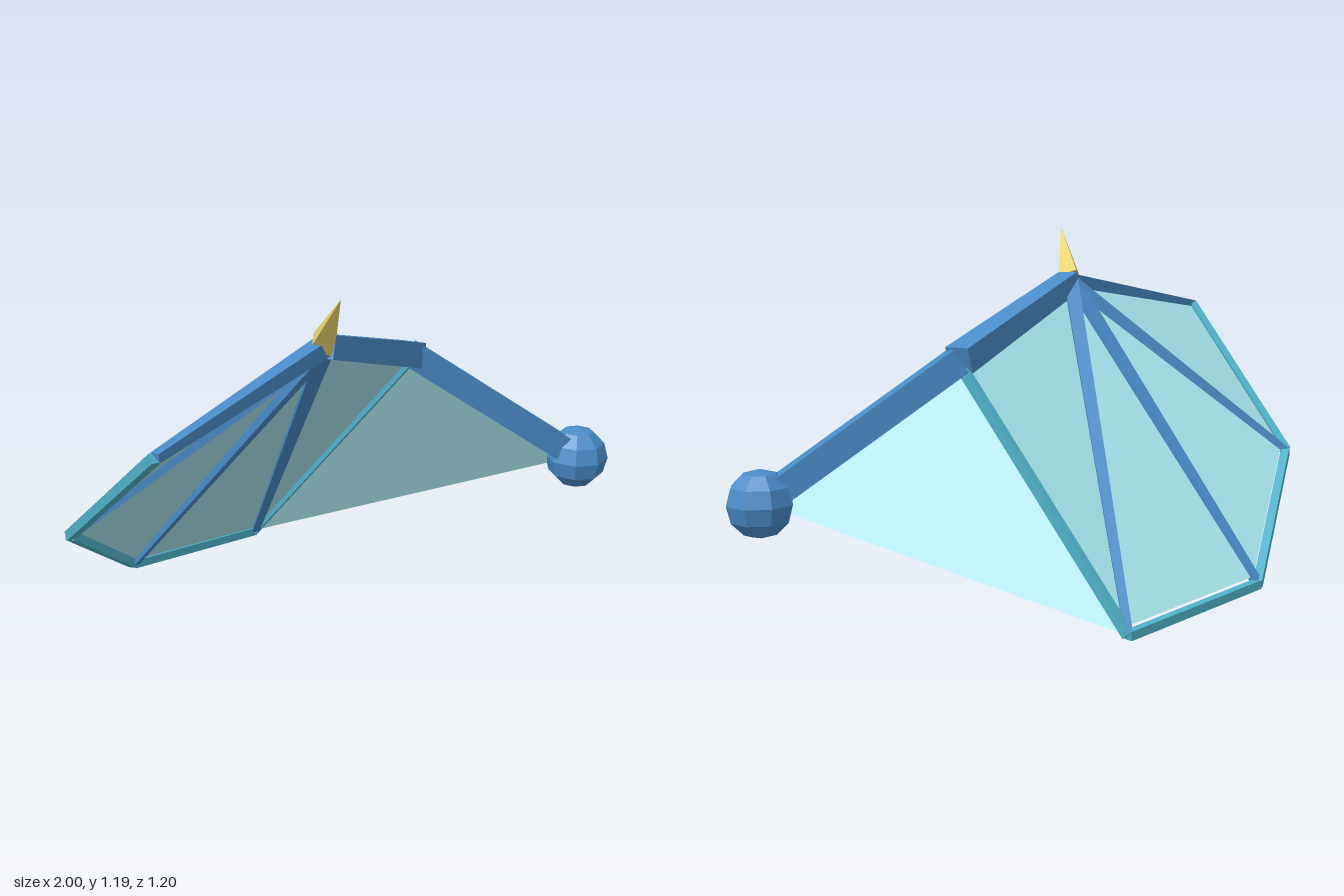
import * as THREE from 'three';

const V = (x, y, z) => new THREE.Vector3(x, y, z);
const mat = (color, side = THREE.FrontSide) =>
  new THREE.MeshStandardMaterial({ color, side, flatShading: true });

// Square bar from a to b, tapering from width w0 to w1
function bar(name, a, b, w0, w1, material) {
  const g = new THREE.BoxGeometry(1, 1, a.distanceTo(b));
  const p = g.attributes.position;
  for (let i = 0; i < p.count; i++) {
    const w = p.getZ(i) < 0 ? w0 : w1;
    p.setXY(i, p.getX(i) * w, p.getY(i) * w);
  }
  g.computeVertexNormals();
  const m = new THREE.Mesh(g, material);
  m.name = name;
  m.position.copy(a).lerp(b, 0.5);
  m.lookAt(b);
  return m;
}

// Single triangular sheet of wing skin
function sheet(name, a, b, c, material) {
  const g = new THREE.BufferGeometry().setFromPoints([a, b, c]);
  g.computeVertexNormals();
  const m = new THREE.Mesh(g, material);
  m.name = name;
  return m;
}

export function createModel() {
  const wing = new THREE.Group();
  wing.name = 'wing';
  const blue = mat(0x4a8cc8);
  const teal = mat(0x4fb0c8);
  const skin = mat(0xa8e6ef, THREE.DoubleSide);
  const horn = mat(0xe6cf6a);

  // Joints and finger tips
  const shoulder = V(0.89, 0.36, 0.19);
  const elbow = V(0.3, 0.79, 0);
  const wrist = V(-0.3, 1.005, 0.345);
  const tips = [
    V(-0.985, 0.89, 0.585),
    V(-0.92, 0.42, -0.09),
    V(-0.52, 0.078, -0.47),
    V(0.04, 0.018, -0.585),
  ];

  // Arm
  const ball = new THREE.Mesh(new THREE.SphereGeometry(0.109, 8, 6), blue);
  ball.name = 'shoulderBall';
  ball.position.copy(shoulder);
  wing.add(ball);
  wing.add(bar('upperArm', shoulder, elbow, 0.085, 0.085, blue));
  wing.add(bar('forearm', elbow, wrist, 0.085, 0.07, blue));

  // Finger bones
  tips.forEach((t, i) => wing.add(bar('finger' + (i + 1), wrist, t, 0.05, 0.026, blue)));

  // Rim along the outer edge, ending at the elbow
  const rim = [...tips, V(0.29, 0.76, -0.01)];
  for (let i = 0; i < 4; i++) {
    wing.add(bar('rim' + (i + 1), rim[i], rim[i + 1], 0.028, 0.028, teal));
  }

  // Skin between the fingers, held slightly inside the rim
  const inner = rim.map((t) => t.clone().lerp(wrist, 0.022));
  for (let i = 0; i < 4; i++) {
    wing.add(sheet('membrane' + (i + 1), wrist, inner[i], inner[i + 1], skin));
  }
  wing.add(sheet('armMembrane', rim[4], tips[3], shoulder, skin));

  // Claw on the wrist
  const base = V(-0.305, 1.015, 0.35);
  const point = V(-0.365, 1.19, 0.52);
  const claw = new THREE.Mesh(new THREE.ConeGeometry(0.045, base.distanceTo(point), 4), horn);
  claw.name = 'claw';
  claw.position.copy(base).lerp(point, 0.5);
  claw.quaternion.setFromUnitVectors(V(0, 1, 0), point.clone().sub(base).normalize());
  wing.add(claw);

  return wing;
}
